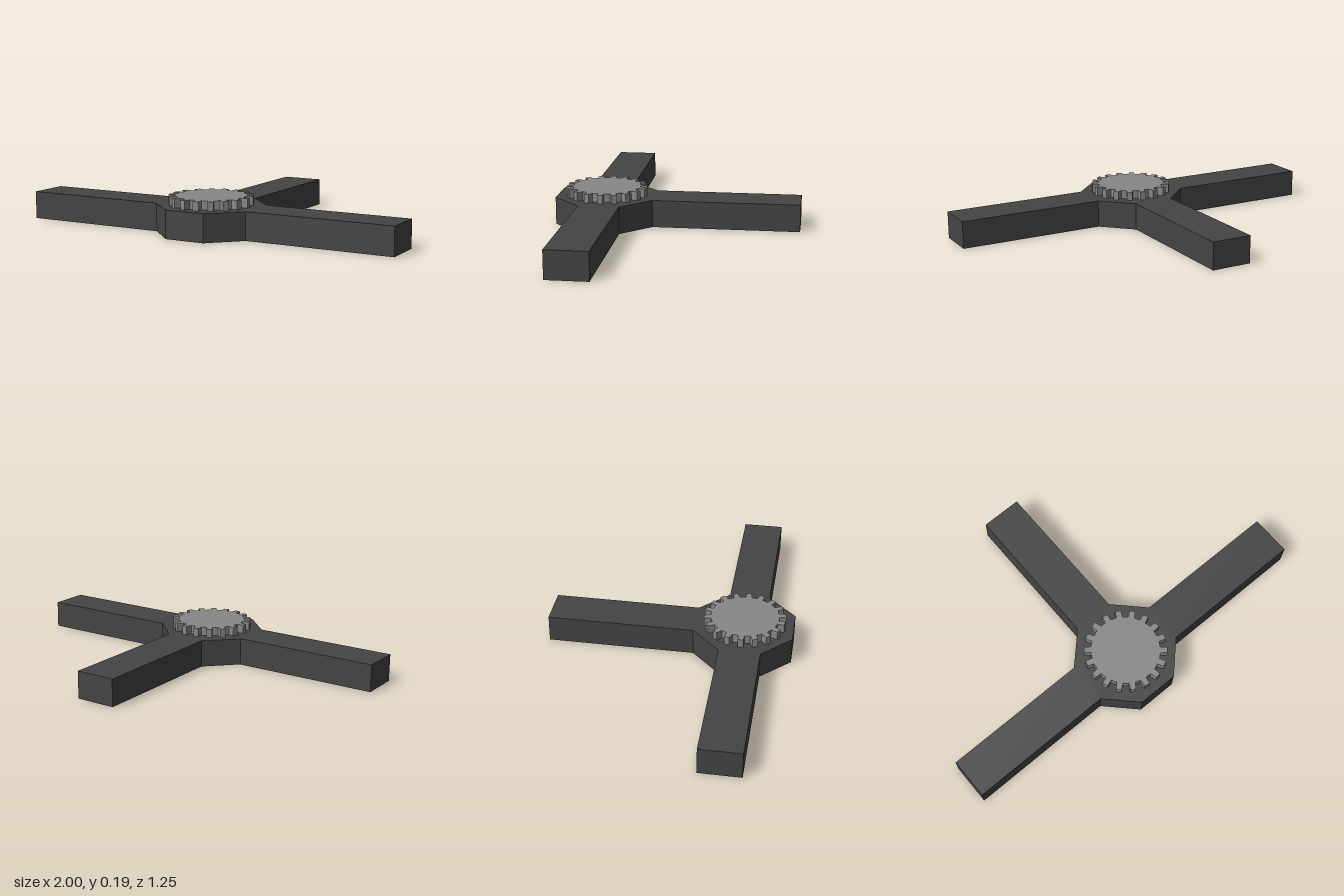
import * as THREE from 'three';

const HUB_Z = 0.375;      // centre of the hub
const BODY_H = 0.14;
const GEAR_H = 0.045;

// Extrude a plan outline (x, forward-negative y) upward from height y
function slab(name, points, y, height, color) {
  const shape = new THREE.Shape(points.map(([px, py]) => new THREE.Vector2(px, py)));
  const geometry = new THREE.ExtrudeGeometry(shape, { depth: height, bevelEnabled: false });
  geometry.rotateX(-Math.PI / 2);
  const mesh = new THREE.Mesh(geometry, new THREE.MeshStandardMaterial({ color, flatShading: true }));
  mesh.name = name;
  mesh.position.set(0, y, HUB_Z);
  return mesh;
}

export function createModel() {
  const model = new THREE.Group();
  model.name = 'threeArmBase';

  // Octagonal hub with two side arms and a longer-looking back arm, one outline
  const a = 0.25, h = 0.104, back = 1;
  const outline = [
    [-h, -a], [h, -a], [a, -h],
    [1, -h], [1, h], [a, h],
    [h, a], [h, back], [-h, back], [-h, a],
    [-a, h], [-1, h], [-1, -h], [-a, -h],
  ];
  model.add(slab('armBody', outline, 0, BODY_H, 0x444444));

  // Toothed gear on top of the hub
  const teeth = 18, root = 0.174, tip = 0.209;
  const gear = [];
  for (let i = 0; i < teeth; i++) {
    const mid = (i / teeth) * Math.PI * 2;
    for (const [r, halfWidth] of [[root, -0.016], [tip, -0.014], [tip, 0.014], [root, 0.016]]) {
      const angle = mid + halfWidth / r;
      gear.push([r * Math.cos(angle), r * Math.sin(angle)]);
    }
    // keep the rim round between teeth
    const gap = mid + Math.PI / teeth;
    gear.push([root * Math.cos(gap), root * Math.sin(gap)]);
  }
  model.add(slab('gear', gear, BODY_H, GEAR_H, 0x888888));

  return model;
}
